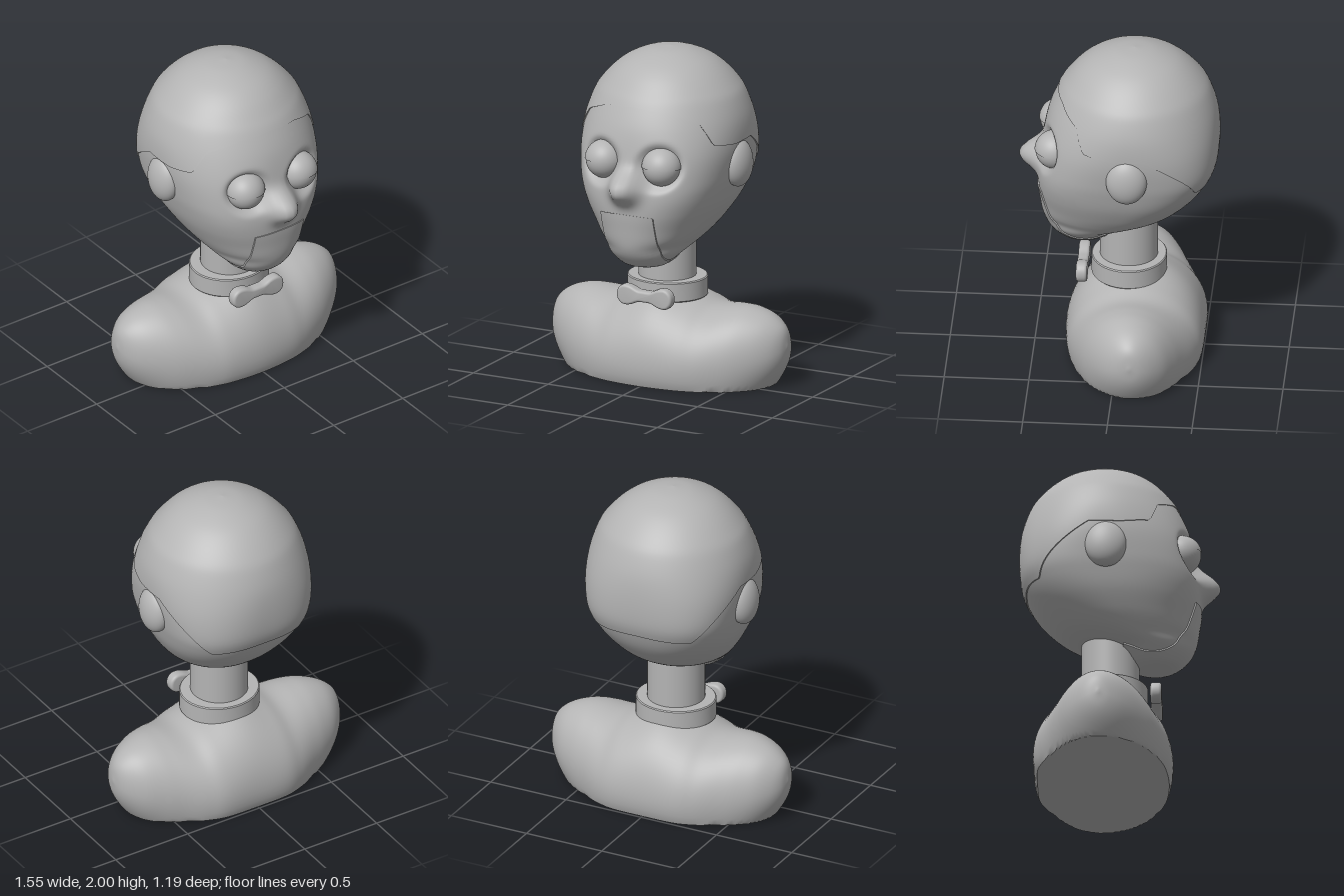
import * as THREE from 'three';
import { toCreasedNormals } from 'three/addons/utils/BufferGeometryUtils.js';

const grey = new THREE.MeshStandardMaterial({ color: 0xb4b4b4 });
grey.name = 'plain grey';

// Catmull-Rom sample of a table of rows at fractional index t
function sample(rows, t) {
  const last = rows.length - 1;
  const i = Math.min(Math.floor(t), last - 1), s = t - i;
  return rows[i].map((b, k) => {
    const c = rows[i + 1][k];
    const a = i > 0 ? rows[i - 1][k] : 2 * b - c;
    const d = i + 2 <= last ? rows[i + 2][k] : 2 * c - b;
    return b + 0.5 * s * (c - a + s * (2 * a - 5 * b + 4 * c - d + s * (3 * (b - c) + d - a)));
  });
}

// Surface from fn(u, v) -> [x, y, z]; outward side is du x dv
function surface(fn, nu, nv, crease = 0.7) {
  const pos = [], index = [];
  for (let j = 0; j <= nv; j++)
    for (let i = 0; i <= nu; i++) pos.push(...fn(i / nu, j / nv));
  for (let j = 0; j < nv; j++)
    for (let i = 0; i < nu; i++) {
      const a = j * (nu + 1) + i, b = a + 1, c = a + nu + 1, d = c + 1;
      index.push(a, b, d, a, d, c);
    }
  const g = new THREE.BufferGeometry();
  g.setAttribute('position', new THREE.Float32BufferAttribute(pos, 3));
  g.setIndex(index);
  // enlarged while creasing so close vertices stay distinct
  g.scale(100, 100, 100);
  const out = toCreasedNormals(g, crease);
  return out.scale(0.01, 0.01, 0.01);
}

// Head sections: y, half width, front z, back z, centre z, roundness
const HEAD = [
  [2.0, 0, -0.09, -0.09, -0.09, 2],
  [1.985, 0.12, 0.03, -0.21, -0.09, 2],
  [1.94, 0.235, 0.15, -0.33, -0.09, 2],
  [1.88, 0.32, 0.235, -0.415, -0.09, 2],
  [1.8, 0.395, 0.305, -0.49, -0.09, 2],
  [1.73, 0.44, 0.352, -0.532, -0.09, 2],
  [1.6, 0.48, 0.41, -0.572, -0.09, 2.1],
  [1.45, 0.487, 0.445, -0.585, -0.09, 2.4],
  [1.3, 0.465, 0.462, -0.575, -0.09, 2.7],
  [1.2, 0.44, 0.475, -0.54, -0.08, 2.7],
  [1.1, 0.405, 0.475, -0.485, -0.05, 2.5],
  [1.0, 0.352, 0.462, -0.4, 0, 2.3],
  [0.93, 0.305, 0.452, -0.31, 0.05, 2.2],
  [0.88, 0.265, 0.44, -0.2, 0.1, 2],
  [0.83, 0.22, 0.415, -0.02, 0.18, 2],
  [0.78, 0.165, 0.37, 0.04, 0.2, 2],
  [0.75, 0.11, 0.315, 0.1, 0.21, 2],
  [0.735, 0, 0.2, 0.2, 0.2, 2],
];

function sectionAt(y) {
  let lo = 0, hi = HEAD.length - 1;
  for (let k = 0; k < 30; k++) {
    const m = (lo + hi) / 2;
    if (sample(HEAD, m)[0] > y) lo = m; else hi = m;
  }
  return sample(HEAD, lo);
}

function ringPoint([y, w, f, b, zc, n], angle, grow = 1) {
  const c = Math.cos(angle), s = Math.sin(angle), p = 2 / n;
  const r = s > 0 ? f - zc : zc - b;
  return [
    grow * w * Math.sign(c) * Math.abs(c) ** p, y,
    zc + grow * r * Math.sign(s) * Math.abs(s) ** p,
  ];
}

// Head with a ball nose pushed out and eye sockets pushed in
function headPoint(u, v) {
  const p = ringPoint(sample(HEAD, 4 + v * (HEAD.length - 5)), u * Math.PI * 2);
  if (p[2] > 0.1) {
    const nose = Math.hypot(p[0], p[1] - 1.265) / 0.092;
    const eye = Math.hypot(Math.abs(p[0]) - 0.19, p[1] - 1.39) / 0.125;
    p[2] += 0.125 * Math.exp(-(nose ** 2.5)) - 0.055 * Math.exp(-(eye ** 6));
  }
  return p;
}

// Hairline height by angle from the front
const HAIRLINE = [[0, 1.73], [0.45, 1.712], [0.865, 1.645], [1.07, 1.51],
  [1.426, 1.485], [1.7, 1.49], [2.47, 1.2], [3.15, 1.215]];
function hairHeight(angle) {
  let a = Math.abs(angle - Math.PI / 2);
  if (a > Math.PI) a = 2 * Math.PI - a;
  const i = HAIRLINE.findIndex((h) => h[0] >= a);
  if (i <= 0) return HAIRLINE[0][1];
  const [p, q] = [HAIRLINE[i - 1], HAIRLINE[i]];
  return p[1] + (q[1] - p[1]) * (a - p[0]) / (q[0] - p[0]);
}
function hairPoint(u, v) {
  const angle = u * Math.PI * 2, rows = 41 / 40;
  const t = Math.min(v * rows, 1);
  const y = 2 - (2 - hairHeight(angle)) * (1 - Math.cos(t * Math.PI / 2));
  return ringPoint(sectionAt(y), angle, v === 1 ? 0.97 : 1.015);
}

// Hinged jaw: a strip following the head, found by a search outwards
function inHead(x, y, z) {
  if (y <= 0.736) return false;
  const [, w, f, b, zc, n] = sectionAt(y);
  const r = z > zc ? f - zc : zc - b;
  return (Math.abs(x) / w) ** n + (Math.abs(z - zc) / r) ** n < 1;
}
function jawPoint(u, v) {
  const nu = 16, nv = 40, i = Math.round(u * nu), j = Math.round(v * nv);
  const k = (Math.min(Math.max(i, 1), nu - 1) - 1) / (nu - 2);
  const m = (Math.min(Math.max(j, 1), nv - 1) - 1) / (nv - 2);
  const x = (k * 2 - 1) * 0.174;
  const a = -2.0 + m * 2.26;
  const c = Math.cos(a), s = Math.sin(a);
  let lo = 0, hi = 0.6;
  for (let q = 0; q < 24; q++) {
    const mid = (lo + hi) / 2;
    if (inHead(x, 1 + s * mid, 0.1 + c * mid)) lo = mid; else hi = mid;
  }
  const edge = i === 0 || i === nu || j === 0 || j === nv;
  const r = lo + (edge ? -0.04 : 0.009);
  return [x, 1 + s * r, 0.1 + c * r];
}

// Bust sections: x, top y, centre y, low y, front z, back z
const HALF = [
  [0, 0.56, 0.12, -0.25, 0.315, -0.51],
  [0.2, 0.505, 0.12, -0.25, 0.3, -0.505],
  [0.32, 0.465, 0.12, -0.25, 0.27, -0.47],
  [0.45, 0.473, 0.14, -0.22, 0.22, -0.41],
  [0.55, 0.47, 0.16, -0.15, 0.17, -0.365],
  [0.65, 0.44, 0.19, -0.04, 0.1, -0.31],
  [0.72, 0.395, 0.21, 0.06, 0.03, -0.245],
  [0.76, 0.34, 0.23, 0.15, -0.04, -0.18],
  [0.775, 0.25, 0.25, 0.25, -0.11, -0.11],
];
const BUST = [...HALF.slice(1).reverse().map(([x, ...r]) => [-x, ...r]), ...HALF];
function bustPoint(u, v) {
  const [x, top, mid, low, f, b] = sample(BUST, u * (BUST.length - 1));
  const a = v * Math.PI * 2, s = Math.sin(a);
  const y = mid + s * (s > 0 ? top - mid : mid - low);
  return [x, Math.max(y, 0), (f + b) / 2 + Math.cos(a) * (f - b) / 2];
}

// Bow tie outline with two round lobes and a narrow waist
function bowGeometry() {
  const right = [[0, 0.018], [0.045, 0.02], [0.1, 0.042], [0.14, 0.043],
    [0.163, 0.02], [0.163, -0.02], [0.14, -0.043], [0.1, -0.042], [0.045, -0.02], [0, -0.018]];
  const left = right.slice(1, -1).reverse().map(([x, y]) => [-x, y]);
  const curve = new THREE.CatmullRomCurve3(
    [...right, ...left].map(([x, y]) => new THREE.Vector3(x, y, 0)), true);
  const shape = new THREE.Shape(curve.getPoints(72).slice(0, -1).map((p) => new THREE.Vector2(p.x, p.y)));
  const g = new THREE.ExtrudeGeometry(shape, {
    depth: 0.03, bevelThickness: 0.018, bevelSize: 0.016, bevelSegments: 5 });
  return toCreasedNormals(g.scale(100, 100, 100), 0.7).scale(0.01, 0.01, 0.01);
}

export function createModel() {
  const model = new THREE.Group();
  model.name = 'puppetBust';
  const add = (name, geometry, x = 0, y = 0, z = 0) => {
    const mesh = new THREE.Mesh(geometry, grey);
    mesh.name = name;
    mesh.position.set(x, y, z);
    model.add(mesh);
    return mesh;
  };

  add('bust', surface(bustPoint, 96, 72));
  add('head', surface(headPoint, 180, 130, 1.2));
  add('hair', surface(hairPoint, 144, 41));
  add('jaw', surface(jawPoint, 16, 40));

  // Neck and collar
  add('neck', new THREE.CylinderGeometry(0.171, 0.171, 0.48, 64), 0, 0.66, -0.055);
  const collar = new THREE.LatheGeometry([[0, -0.06], [0.236, -0.06], [0.242, -0.054],
    [0.242, 0.054], [0.236, 0.06], [0, 0.06]].map(([r, y]) => new THREE.Vector2(r, y)), 64);
  add('collar', toCreasedNormals(collar.scale(100, 100, 100), 0.5).scale(0.01, 0.01, 0.01),
    0, 0.55, -0.057).scale.z = 0.92;
  add('bowTie', bowGeometry(), 0, 0.535, 0.2);

  // Eyes, lids and ears on both sides
  for (const [side, word] of [[1, 'left'], [-1, 'right']]) {
    add(word + 'Eye', new THREE.SphereGeometry(0.113, 40, 28), side * 0.19, 1.392, 0.37);
    const lid = add(word + 'Eyelid',
      new THREE.SphereGeometry(0.119, 40, 16, 0, Math.PI * 2, 0, Math.PI / 2), side * 0.19, 1.392, 0.37);
    lid.rotation.x = -0.06;
    const ear = add(word + 'Ear', new THREE.SphereGeometry(1, 40, 28), side * 0.462, 1.348, -0.073);
    ear.scale.set(0.078, 0.145, 0.122);
    ear.rotation.z = side * 0.06;
  }
  return model;
}
